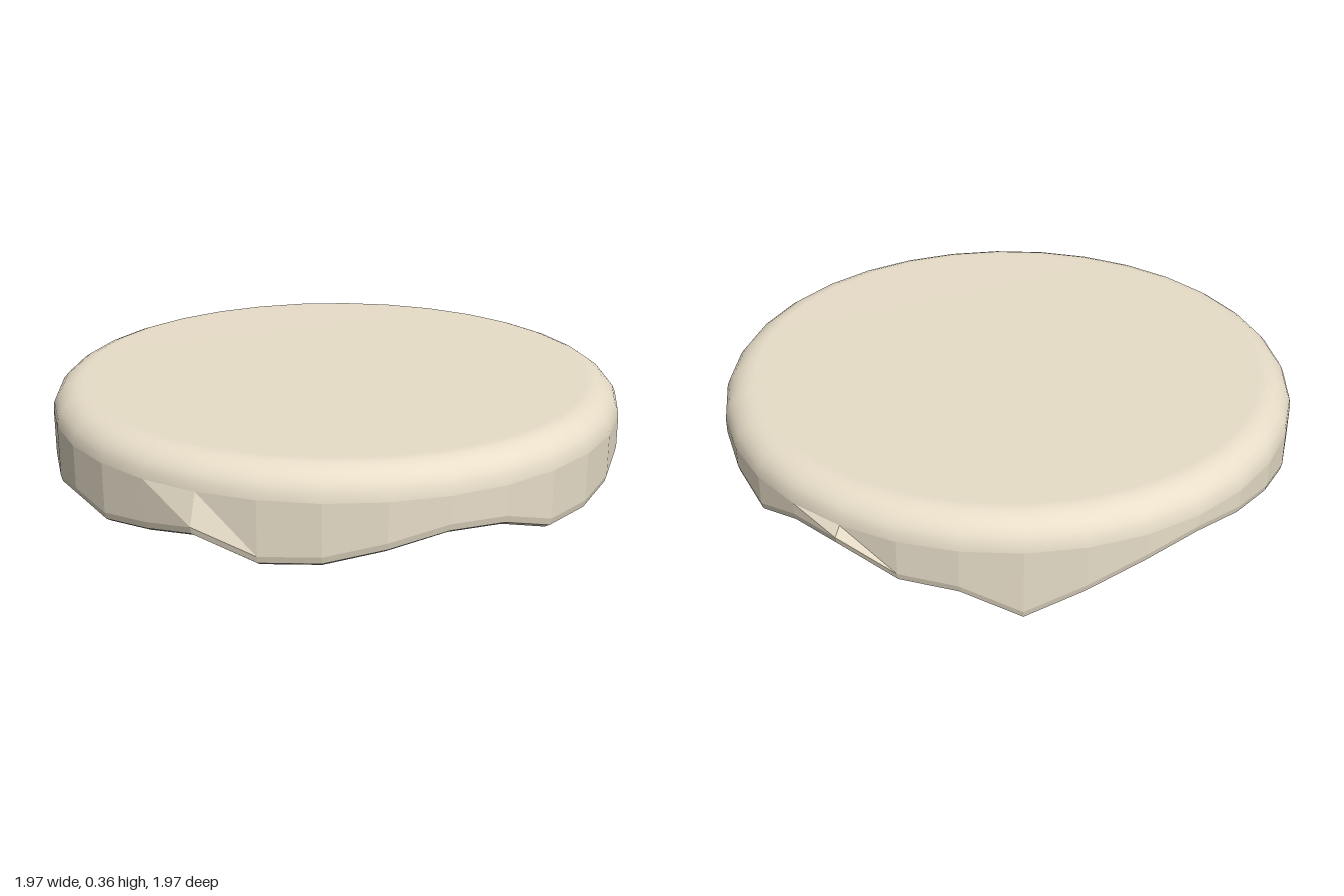
import * as THREE from 'three';

const SIDES = 32;
const RADIUS = 0.985;
const TOP = 0.365;       // height of the flat top
const SHOULDER = 0.265;  // where the rounded edge meets the side wall

// Height of the ragged lower rim, from the front round towards +x
const RIM = [
  0.06, 0.10, 0.14, 0.13, 0.07, 0.07, 0.09, 0.12,
  0.15, 0.18, 0.165, 0.13, 0.19, 0.20, 0.11, 0.10,
  0.01, 0.09, 0.155, 0.19, 0.17, 0.145, 0.11, 0.10,
  0.155, 0.07, 0.06, 0.085, 0.065, 0.09, 0.13, 0.05,
];
// Rim corners that stick out a little
const BULGE = { 13: 1.025, 30: 1.035 };

export function createModel() {
  const group = new THREE.Group();
  group.name = 'disc';
  const color = 0xe8dec9;

  // Smooth flat top with a rounded edge
  const profile = [];
  for (let i = 0; i <= 6; i++) {
    const a = (i / 6) * Math.PI / 2;
    profile.push(new THREE.Vector2(RADIUS - 0.11 * (1 - Math.cos(a)), SHOULDER + (TOP - SHOULDER) * Math.sin(a)));
  }
  profile.push(new THREE.Vector2(0, TOP));
  const top = new THREE.Mesh(
    new THREE.LatheGeometry(profile, SIDES),
    new THREE.MeshStandardMaterial({ color })
  );
  top.name = 'roundedTop';
  group.add(top);

  // Faceted side wall and underside; the rim corners follow the height list
  const lower = [[0, 0.15], [RADIUS - 0.025, 0], [RADIUS - 0.006, 0.012], [RADIUS, 0.035], [RADIUS, SHOULDER]]
    .map(([r, y]) => new THREE.Vector2(r, y));
  const geometry = new THREE.LatheGeometry(lower, SIDES);
  const pos = geometry.attributes.position;
  for (let v = 0; v < pos.count; v++) {
    const side = Math.floor(v / lower.length) % SIDES;
    const ring = v % lower.length;
    if (ring === 0 || ring === lower.length - 1) continue;
    const s = BULGE[side] || 1;
    pos.setXYZ(v, pos.getX(v) * s, pos.getY(v) + RIM[side], pos.getZ(v) * s);
  }
  const faceted = geometry.toNonIndexed();
  faceted.computeVertexNormals();
  const base = new THREE.Mesh(faceted, new THREE.MeshStandardMaterial({ color, flatShading: true }));
  base.name = 'raggedBase';
  group.add(base);

  return group;
}
